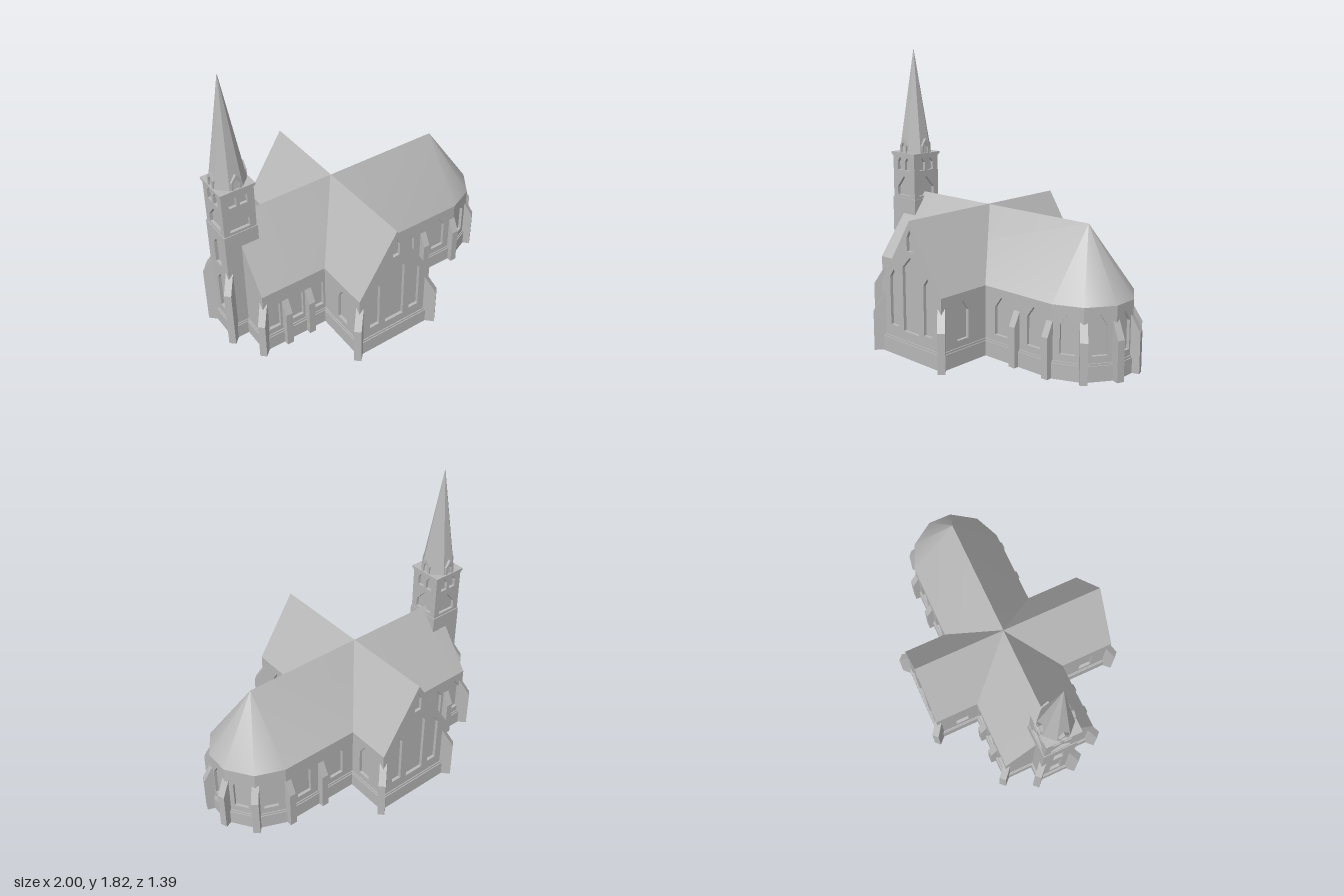
import * as THREE from 'three';
import { toCreasedNormals } from 'three/addons/utils/BufferGeometryUtils.js';

const stone = new THREE.MeshStandardMaterial({ color: 0xb8b8b8 });
stone.name = 'grey stone';

function add(parent, name, geometry, x = 0, y = 0, z = 0) {
  const mesh = new THREE.Mesh(geometry, stone);
  mesh.name = name;
  mesh.position.set(x, y, z);
  parent.add(mesh);
  return mesh;
}

const polygon = (points) => points.map(([x, y]) => new THREE.Vector2(x, y));

// Wall from a to b ([x, z], left to right seen from outside) with recessed pointed windows.
// Each window is [centre, width, sill, spring, apex], measured along the wall.
function wall(parent, name, a, b, { y0 = 0, h, peak, windows = [], depth = 0.02 }) {
  const dx = b[0] - a[0], dz = b[1] - a[1], len = Math.hypot(dx, dz);
  const outline = [[0, y0], [len, y0], [len, h]];
  if (peak) outline.push([len / 2, peak]);
  outline.push([0, h]);
  const shape = new THREE.Shape(polygon(outline));
  for (const [c, w, sill, spring, apex] of windows) {
    shape.holes.push(new THREE.Path(polygon([
      [c - w / 2, sill], [c - w / 2, spring], [c, apex], [c + w / 2, spring], [c + w / 2, sill]])));
  }
  const group = new THREE.Group();
  group.name = name;
  group.position.set(a[0], 0, a[1]);
  group.rotation.y = Math.atan2(-dz, dx);
  add(group, name + 'Face', new THREE.ExtrudeGeometry(shape, { depth, bevelEnabled: false }), 0, 0, -depth);
  if (windows.length) {
    add(group, name + 'WindowBacks', new THREE.ShapeGeometry(new THREE.Shape(polygon(outline))), 0, 0, -depth);
  }
  parent.add(group);
}

// Buttress with a sloping top, pointing outward at an angle in the ground plane
function buttress(parent, name, x, z, angle, length = 0.055, inner = 0.34, outer = 0.25) {
  const rise = (inner - outer) / length * 0.03;
  const shape = new THREE.Shape(polygon(
    [[-0.03, 0], [length, 0], [length, outer], [0, inner], [-0.03, inner + rise]]));
  const geo = new THREE.ExtrudeGeometry(shape, { depth: 0.045, bevelEnabled: false });
  geo.translate(0, 0, -0.0225);
  add(parent, name, geo, x, 0, z).rotation.y = -angle;
}

function roof(parent, name, triangles) {
  const geo = new THREE.BufferGeometry();
  geo.setAttribute('position', new THREE.Float32BufferAttribute(triangles.flat(2), 3));
  add(parent, name, toCreasedNormals(geo, 0.75));
}

// Two stepped courses of a plinth around a footprint
function plinth(parent, footprint) {
  for (const [offset, height] of [[0.012, 0.095], [0.006, 0.108]]) {
    const shape = new THREE.Shape(polygon(footprint(offset).map(([x, z]) => [x, -z])));
    const geo = new THREE.ExtrudeGeometry(shape, { depth: height, bevelEnabled: false });
    geo.rotateX(-Math.PI / 2);
    add(parent, 'plinth', geo);
  }
}

const EAVE = 0.44, RIDGE = 0.855, D = Math.PI / 180;

function buildNave() {
  const nave = new THREE.Group();
  nave.name = 'nave';
  // Footprint, starting front left and running round the apse
  const footprint = (o) => {
    const side = [[-0.84 - o, 0.3125 + o], [0.66 + o * 0.2, 0.3125 + o],
      [0.835 + o * 0.7, 0.24 + o * 0.7], [0.945 + o, 0.08 + o * 0.3]];
    return [...side, ...side.map(([x, z]) => [x, -z]).reverse()];
  };
  const ring = footprint(0);
  plinth(nave, footprint);

  // Side walls, apse facets and west gable
  const sideWindows = [[-0.765, 0.086], [-0.6, 0.086], [-0.45, 0.086], [0.27, 0.1], [0.525, 0.1]];
  ring.forEach((p, i) => {
    const q = ring[(i + 1) % ring.length];
    if (i === 7) return wall(nave, 'westGable', p, q, { h: EAVE, peak: RIDGE });
    const len = Math.hypot(q[0] - p[0], q[1] - p[1]);
    const windows = i === 0 || i === 6
      ? sideWindows.map(([x, w]) => [i === 0 ? x + 0.84 : 0.66 - x, w, 0.15, 0.325, 0.393])
      : [[len / 2, 0.09, 0.15, 0.325, 0.393]];
    wall(nave, i === 0 || i === 6 ? 'naveWall' : 'apseWall', p, q, { h: EAVE, windows });
  });

  // Roof with a rounded hip over the apse
  const eave = ring.map(([x, z]) => [x, EAVE, z]);
  const apex = [0.67, RIDGE, 0], west = [-0.84, RIDGE, 0];
  const tris = eave.slice(0, 7).map((p, i) => [p, eave[i + 1], apex]);
  tris.push([eave[0], apex, west], [eave[7], west, apex]);
  roof(nave, 'naveRoof', tris);

  for (const s of [1, -1]) {
    for (const x of [-0.685, -0.52, 0.395, 0.645]) {
      buttress(nave, 'naveButtress', x, s * 0.3125, s * 90 * D, 0.045);
    }
    buttress(nave, 'apseButtress', 0.835, s * 0.24, s * 48 * D, 0.05);
    buttress(nave, 'apseButtress', 0.945, s * 0.08, s * 20 * D, 0.05);
    buttress(nave, 'westButtress', -0.84, s * 0.3125, s * 135 * D);
  }
  return nave;
}

function buildTransept() {
  const transept = new THREE.Group();
  transept.name = 'transept';
  const X = 0.265, Z = 0.64;
  const footprint = (o) => [[-X - o, Z + o], [X + o, Z + o], [X + o, -Z - o], [-X - o, -Z - o]];
  const ring = footprint(0);
  plinth(transept, footprint);

  // Gables with tall lancets, side walls with one window per arm
  const gableWindows = [[X, 0.135, 0.165, 0.565, 0.635], [X, 0.05, 0.67, 0.755, 0.8],
    [X - 0.15, 0.07, 0.18, 0.485, 0.535], [X + 0.15, 0.07, 0.18, 0.485, 0.535]];
  const armWindows = [Z - 0.465, Z + 0.465].map((u) => [u, 0.09, 0.15, 0.325, 0.393]);
  ring.forEach((p, i) => wall(transept, i % 2 ? 'transeptWall' : 'transeptGable', p, ring[(i + 1) % 4],
    i % 2 ? { h: EAVE, windows: armWindows } : { h: EAVE, peak: RIDGE + 0.003, windows: gableWindows }));

  const [a, b, c, d] = ring.map(([x, z]) => [x, EAVE, z]);
  const front = [0, RIDGE + 0.003, Z], back = [0, RIDGE + 0.003, -Z];
  roof(transept, 'transeptRoof', [[b, c, back], [b, back, front], [d, a, front], [d, front, back]]);

  for (const s of [1, -1]) {
    buttress(transept, 'transeptButtress', X, s * Z, s * 45 * D);
    buttress(transept, 'transeptButtress', -X, s * Z, s * 135 * D);
  }
  return transept;
}

function buildTower() {
  const tower = new THREE.Group();
  tower.name = 'tower';
  const square = (r) => [[-r, r], [r, r], [r, -r], [-r, -r]];
  const R = 0.112, r = 0.107;
  plinth(tower, (o) => square(R + o));

  // Shaft, belfry and spire dormers on all four sides (side 3 faces west)
  for (let i = 0; i < 4; i++) {
    const j = (i + 1) % 4;
    wall(tower, 'towerShaft', square(R)[i], square(R)[j], { h: 0.81,
      windows: i === 3 ? [[R, 0.075, 0.17, 0.4, 0.46], [R, 0.07, 0.54, 0.69, 0.74]] : [] });
    wall(tower, 'belfry', square(r)[i], square(r)[j], { y0: 0.8, h: 1.105, windows: [
      [r, 0.13, 0.83, 0.885, 0.965],
      [r - 0.036, 0.05, 1.005, 1.06, 1.092], [r + 0.036, 0.05, 1.005, 1.06, 1.092]] });
    const side = new THREE.Group();
    side.name = 'dormerSide';
    side.rotation.y = i * Math.PI / 2;
    wall(side, 'dormer', [-0.032, 0.11], [0.032, 0.11], { y0: 1.12, h: 1.175, peak: 1.22,
      windows: [[0.032, 0.036, 1.125, 1.165, 1.195]], depth: 0.07 });
    tower.add(side);
  }
  add(tower, 'shaftLedge', new THREE.BoxGeometry(2 * R, 0.01, 2 * R), 0, 0.806, 0);
  add(tower, 'lowerCornice', new THREE.BoxGeometry(0.222, 0.012, 0.222), 0, 1.105, 0);
  add(tower, 'cornice', new THREE.BoxGeometry(0.232, 0.014, 0.232), 0, 1.117, 0);

  // Eight-sided spire
  const spire = toCreasedNormals(new THREE.ConeGeometry(0.112, 0.7, 8), 0.1);
  add(tower, 'spire', spire, 0, 1.473, 0).rotation.y = Math.PI / 8;

  for (const s of [1, -1]) {
    buttress(tower, 'towerButtress', -R, s * R, s * 135 * D, 0.053, 0.49, 0.405);
  }
  return tower;
}

export function createModel() {
  const church = new THREE.Group();
  church.name = 'church';
  const nave = buildNave(), transept = buildTransept(), tower = buildTower();
  nave.position.z = -0.0425;
  transept.position.set(-0.127, 0, -0.005);
  tower.position.set(-0.834, 0, -0.0425);
  church.add(nave, transept, tower);
  return church;
}
